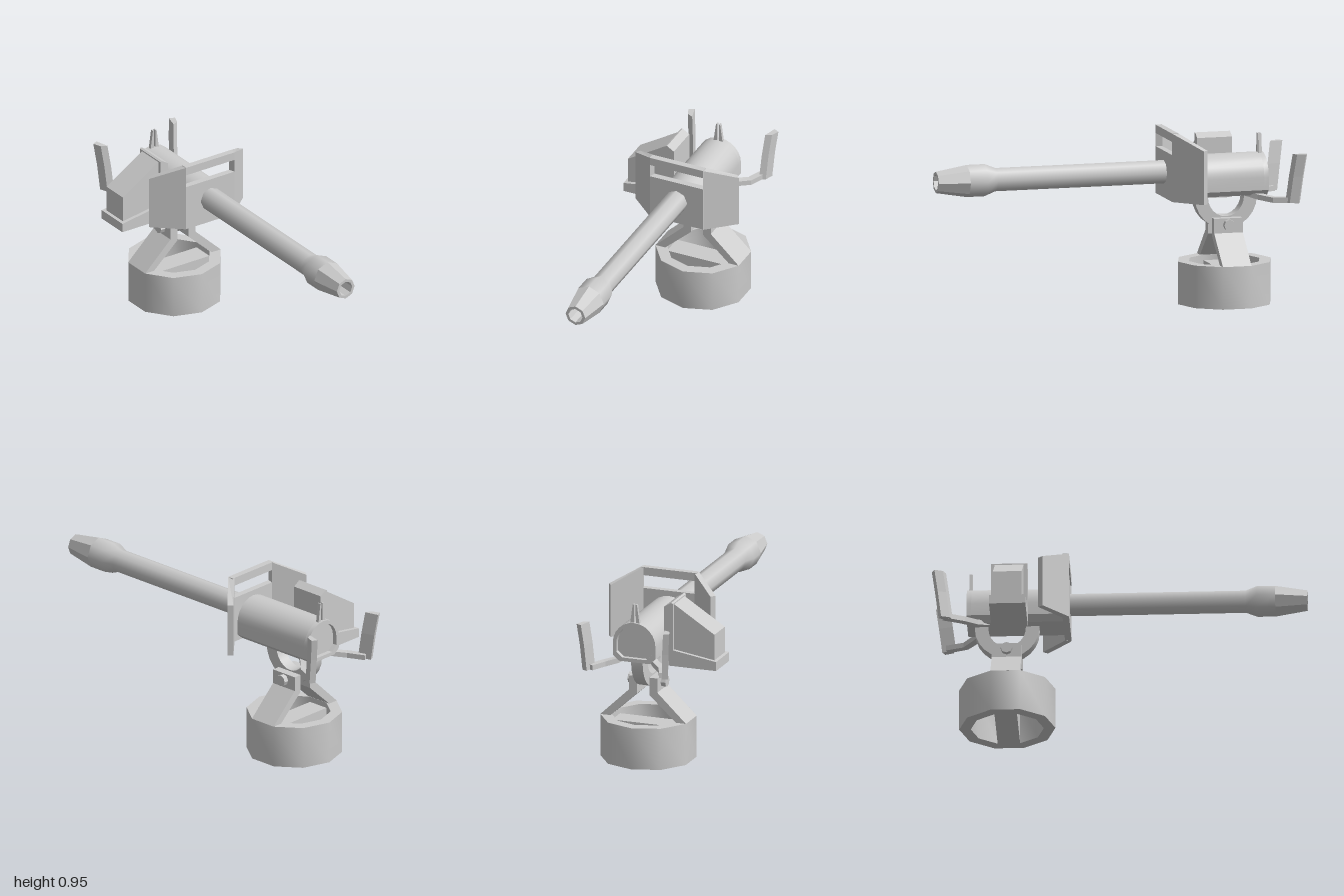
import * as THREE from 'three';
import { toCreasedNormals } from 'three/addons/utils/BufferGeometryUtils.js';

const mat = new THREE.MeshStandardMaterial({ color: 0xcccccc });
const flatMat = new THREE.MeshStandardMaterial({ color: 0xcccccc, flatShading: true });
const AXIS = 0.055;   // x of the gun's plane of symmetry
const PIVOT = -0.603; // z of the pedestal's centre

const toVectors = (pts) => pts.map(([x, y]) => new THREE.Vector2(x, y));

// Prism: outline in xy, extruded from z0 to z1
function prism(outline, z0, z1, hole) {
  const shape = new THREE.Shape(toVectors(outline));
  if (hole) shape.holes.push(new THREE.Path(toVectors(hole)));
  const g = new THREE.ExtrudeGeometry(shape, { depth: z1 - z0, bevelEnabled: false });
  return g.translate(0, 0, z0);
}

// Closed skin over a row of four-cornered sections
function loft(sections) {
  const tris = [];
  const quad = (a, b, c, d) => tris.push([a, b, c], [a, c, d]);
  const last = sections[sections.length - 1];
  quad(...sections[0].slice().reverse());
  quad(...last);
  for (let i = 0; i + 1 < sections.length; i++) {
    const s = sections[i], t = sections[i + 1];
    for (let k = 0; k < 4; k++) quad(s[k], s[(k + 1) % 4], t[(k + 1) % 4], t[k]);
  }
  // turn the skin outwards if it was wound inwards
  const v = (p) => new THREE.Vector3(...p);
  const volume = tris.reduce((sum, [a, b, c]) => sum + v(a).dot(v(b).cross(v(c))), 0);
  if (volume < 0) tris.forEach((t) => t.reverse());
  const g = new THREE.BufferGeometry();
  g.setAttribute('position', new THREE.Float32BufferAttribute(tris.flat(2), 3));
  g.computeVertexNormals();
  return g;
}

const ngon = (n, r, start) => Array.from({ length: n }, (_, i) => {
  const a = start + (i / n) * Math.PI * 2;
  return [r * Math.cos(a), r * Math.sin(a)];
});

// Receiver outline: round top, flat bottom with chamfered corners
function receiverOutline(inset) {
  const r = 0.122 - inset, low = 0.585 + inset;
  const pts = [[-r, low + 0.03], [-r + 0.035, low], [r - 0.035, low], [r, low + 0.03]];
  for (let i = 0; i <= 12; i++) {
    const a = (i / 12) * Math.PI;
    pts.push([r * Math.cos(a), 0.683 + r * Math.sin(a)]);
  }
  return pts;
}

export function createModel() {
  const model = new THREE.Group();
  const gun = new THREE.Group(); // symmetric about its own x = 0
  gun.name = 'gunMount';
  gun.position.x = AXIS;
  model.add(gun);
  const add = (name, geometry, parent = gun, material = mat) => {
    const m = new THREE.Mesh(geometry, material);
    m.name = name;
    parent.add(m);
    return m;
  };

  // Ten-sided pedestal ring with a bar across
  const ring = prism(ngon(10, 0.257, Math.PI / 2), 0, 0.23, ngon(10, 0.195, Math.PI / 2));
  ring.rotateX(-Math.PI / 2).translate(0, 0, PIVOT);
  add('pedestalRing', toCreasedNormals(ring, 0.7));
  add('pedestalCrossbar', new THREE.BoxGeometry(0.39, 0.2, 0.12).translate(0, 0.1, PIVOT));

  // Half-ring yoke under the receiver
  const yokePts = [];
  for (let i = 0; i <= 12; i++) {
    const a = Math.PI * (1 + i / 12);
    yokePts.push([0.172 * Math.cos(a), 0.575 + 0.172 * Math.sin(a)]);
  }
  yokePts.push([0.172, 0.61], [0.1, 0.61]);
  for (let i = 12; i >= 0; i--) {
    const a = Math.PI * (1 + i / 12);
    yokePts.push([0.1 * Math.cos(a), 0.575 + 0.106 * Math.sin(a)]);
  }
  yokePts.push([-0.1, 0.61], [-0.172, 0.61]);
  const yoke = prism(yokePts, -0.033, 0.033).rotateY(-Math.PI / 2).translate(0, 0, PIVOT);
  add('yoke', toCreasedNormals(yoke, 0.6));

  // Pivot pin through the yoke
  add('pivotPin', new THREE.CylinderGeometry(0.02, 0.02, 0.16, 8)
    .rotateZ(Math.PI / 2).translate(0, 0.43, PIVOT));

  // Receiver with a raised rim at the back
  add('receiver', toCreasedNormals(prism(receiverOutline(0), -0.79, -0.29), 0.5));
  add('receiverRim', toCreasedNormals(prism(receiverOutline(0), -0.815, -0.79, receiverOutline(0.02)), 0.5));

  // Barrel, swelling towards the muzzle
  const barrel = new THREE.LatheGeometry(toVectors([
    [0.063, -0.3], [0.063, 0.67], [0.087, 0.73], [0.087, 0.83],
  ]), 8).rotateX(Math.PI / 2).translate(0, 0.72, 0);
  add('barrel', barrel);
  const muzzle = new THREE.LatheGeometry(toVectors([
    [0.087, 0.83], [0.058, 1], [0.042, 1], [0.042, 0.85], [0, 0.85],
  ]), 8).rotateX(Math.PI / 2).translate(0, 0.72, 0);
  add('muzzle', muzzle, gun, flatMat);

  // Shield: centre plate and top rail leave a slot to aim through
  const shield = new THREE.Group();
  shield.name = 'shield';
  gun.add(shield);
  add('shieldPlate', new THREE.BoxGeometry(0.315, 0.253, 0.035).translate(0, 0.7075, -0.284), shield);
  add('shieldTopRail', new THREE.BoxGeometry(0.315, 0.045, 0.035).translate(0, 0.9275, -0.284), shield);

  for (const s of [1, -1]) {
    const side = s > 0 ? 'left' : 'right';

    // Shield wing, swept back
    const column = (x, z, top) => [[s * x, 0.58, z], [s * x, top, z]];
    const wingEdge = (xf, zf, xb, zb, top) => {
      const [a, b] = column(xf, zf, top), [c, d] = column(xb, zb, top);
      return [a, b, d, c];
    };
    add(side + 'ShieldWing', loft([
      wingEdge(0.157, -0.2665, 0.145, -0.3015, 0.95),
      wingEdge(0.305, -0.4, 0.285, -0.425, 0.87),
    ]), shield);

    // Pedestal arm
    const arm = [[0.245, 0.23], [0.187, 0.23], [0.036, 0.368], [0.036, 0.465], [0.081, 0.465], [0.081, 0.386]];
    add(side + 'PedestalArm', prism(arm.map(([x, y]) => [s * x, y]), PIVOT - 0.0795, PIVOT + 0.0795)
    );

    // Pivot bolt head
    add(side + 'PivotBolt', new THREE.CylinderGeometry(0.031, 0.031, 0.03, 8)
      .rotateZ(Math.PI / 2).translate(s * 0.093, 0.43, PIVOT), gun, flatMat);

    // Handle arm: leaves the receiver's underside and bends outwards
    const slab = (x1, z1, x2, z2, y) => [
      [s * x1, y - 0.014, z1], [s * x2, y - 0.014, z2], [s * x2, y + 0.014, z2], [s * x1, y + 0.014, z1],
    ];
    add(side + 'HandleArm', loft([
      slab(0.05, -0.74, 0.06, -0.69, 0.597),
      slab(0.1, -0.795, 0.115, -0.755, 0.578),
      slab(0.152, -0.845, 0.18, -0.82, 0.568),
      slab(0.19, -0.94, 0.225, -0.925, 0.57),
    ]));

    // Upright grip, leaning back
    const foot = (y, dx, dz) => [[0.195, -0.885], [0.228, -0.9], [0.245, -0.945], [0.215, -0.96]]
      .map(([x, z]) => [s * (x + dx), y, z + dz]);
    add(side + 'Grip', loft([foot(0.556, 0, 0), foot(0.7, 0.008, -0.018), foot(0.82, 0.02, -0.035)]));

    // Rear sight prong
    const prong = [[0.006, 0.79], [0.028, 0.79], [0.012, 0.905], [0.005, 0.905]];
    add(side + 'SightProng', prism(prong.map(([x, y]) => [s * x, y]), -0.805, -0.787));
  }

  // Ammunition box on the right side of the receiver
  const ammo = new THREE.Group();
  ammo.name = 'ammunitionBox';
  model.add(ammo);
  add('ammoBody', prism([[-0.345, 0.58], [-0.09, 0.58], [-0.09, 0.88], [-0.115, 0.885], [-0.345, 0.74]],
    -0.662, -0.508), ammo);
  add('ammoTray', prism([[-0.362, 0.545], [-0.07, 0.545], [-0.07, 0.64], [-0.362, 0.595]],
    -0.682, -0.488), ammo);
  add('ammoFlange', prism([[-0.115, 0.545], [-0.065, 0.545], [-0.065, 0.872], [-0.105, 0.897], [-0.115, 0.892]],
    -0.682, -0.488), ammo);

  return model;
}
